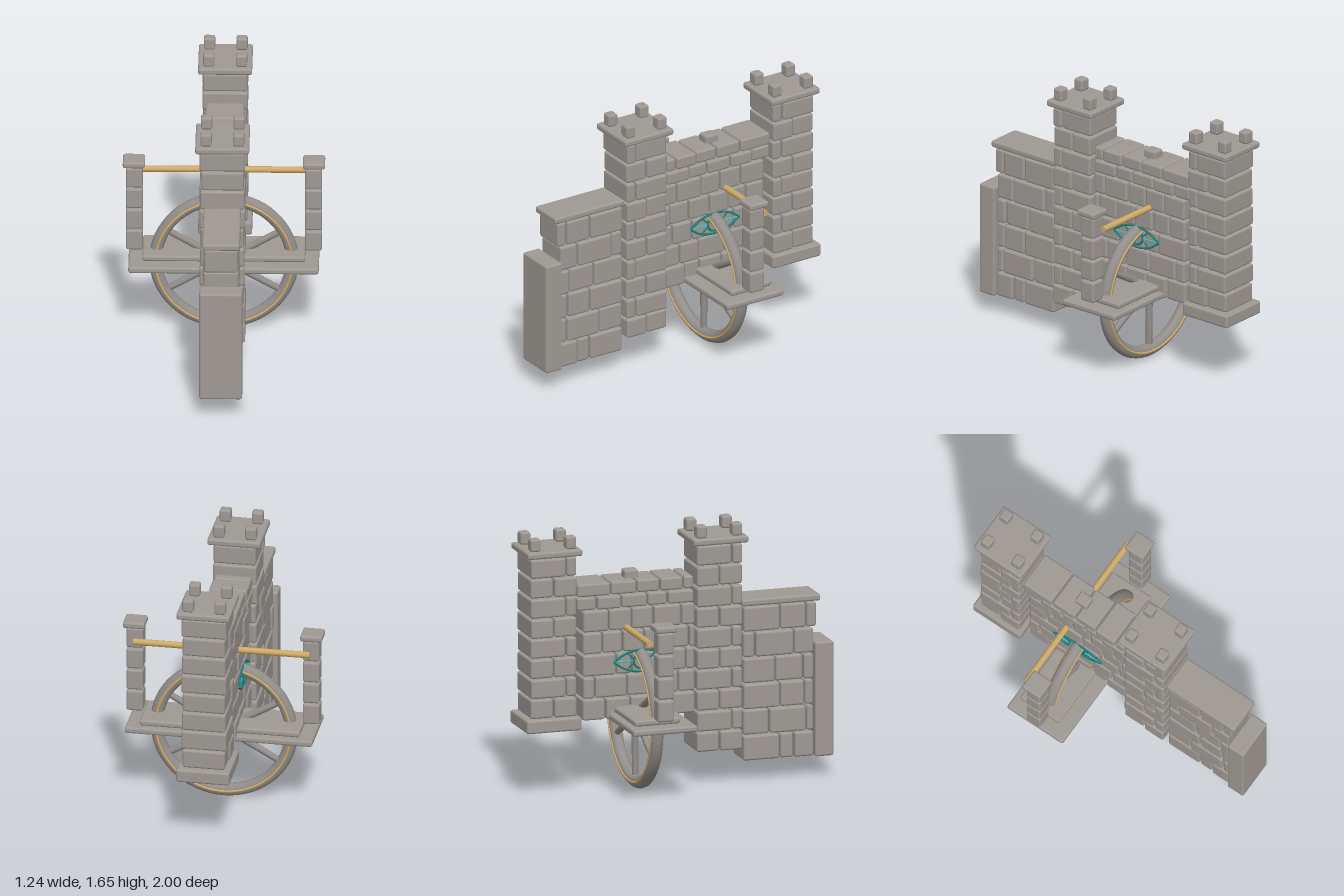
import * as THREE from 'three';
import { RoundedBoxGeometry } from 'three/addons/geometries/RoundedBoxGeometry.js';

const mat = (name, color) => Object.assign(new THREE.MeshStandardMaterial({ color }), { name });

export function createModel() {
  const stone = mat('stone', 0x9f9994);
  const iron = mat('wheel grey', 0x938e8a);
  const brass = mat('brass', 0xcdaa68);
  const teal = mat('teal', 0x23807c);
  const cyan = mat('bright teal', 0x3cc9c2);
  const root = new THREE.Group();

  const group = (name, parent = root) => {
    const g = new THREE.Group();
    g.name = name;
    parent.add(g);
    return g;
  };
  const add = (parent, name, geo, material, x = 0, y = 0, z = 0) => {
    const m = new THREE.Mesh(geo, material);
    m.name = name;
    m.position.set(x, y, z);
    parent.add(m);
    return m;
  };
  // Worn block given by its limits on each axis
  const block = (parent, name, x0, x1, y0, y1, z0, z1, r = 0.014) =>
    add(parent, name, new RoundedBoxGeometry(x1 - x0, y1 - y0, z1 - z0, 2, r), stone,
      (x0 + x1) / 2, (y0 + y1) / 2, (z0 + z1) / 2);

  // Courses of full-width stones; each row lists its joints along z, front to back
  const gap = 0.004;
  const courses = (parent, halfWidth, y0, y1, rows) => {
    const h = (y1 - y0) / rows.length;
    rows.forEach((joints, i) => {
      for (let j = 0; j + 1 < joints.length; j++) {
        const w = halfWidth - 0.004 * ((i + 2 * j) % 3);
        block(parent, 'stone', -w, w, y0 + i * h + gap, y0 + (i + 1) * h - gap,
          joints[j + 1] + gap, joints[j] - gap);
      }
    });
  };

  // Front wall with coping and end slab
  const frontWall = group('frontWall');
  courses(frontWall, 0.112, 0.13, 1.11, [
    [0.88, 0.75, 0.66, 0.42], [0.88, 0.83, 0.59, 0.42], [0.88, 0.82, 0.66, 0.42],
    [0.88, 0.81, 0.63, 0.42], [0.88, 0.75, 0.50, 0.42], [0.90, 0.83, 0.66, 0.42]]);
  block(frontWall, 'coping', -0.115, 0.115, 1.112, 1.155, 0.41, 0.92);
  block(frontWall, 'endSlab', -0.132, 0.132, 0.13, 0.855, 0.88, 1.0);

  // Bridge wall, parapet and keystone
  const bridge = group('bridgeWall');
  courses(bridge, 0.112, 0.465, 1.165, [
    [0.11, -0.04, -0.15, -0.31, -0.47, -0.62], [0.11, 0.0, -0.14, -0.33, -0.54, -0.62],
    [0.11, 0.05, -0.09, -0.30, -0.40, -0.62], [0.11, 0.07, -0.07, -0.22, -0.36, -0.49, -0.62],
    [0.11, 0.02, -0.16, -0.30, -0.45, -0.62]]);
  courses(bridge, 0.118, 1.165, 1.34, [
    [0.10, -0.07, -0.20, -0.37, -0.53, -0.66], [0.10, 0.03, -0.12, -0.27, -0.44, -0.66]]);
  block(bridge, 'keystone', -0.04, 0.04, 1.32, 1.385, -0.325, -0.235);

  // Towers with cap and four merlons
  const tower = (name, zFront, zBack, y0, n) => {
    const g = group(name);
    const rows = [];
    for (let i = 0; i < n; i++)
      rows.push([zFront, zFront - ((n - i) % 2 ? 0.07 : 0.15), zBack]);
    courses(g, 0.14, y0, 1.525, rows);
    const mid = (zFront + zBack) / 2;
    block(g, 'cap', -0.166, 0.166, 1.53, 1.572, mid - 0.178, mid + 0.178);
    for (const sx of [-1, 1]) for (const sz of [-1, 1])
      block(g, 'merlon', sx * 0.1 - 0.035, sx * 0.1 + 0.035, 1.57, 1.65,
        mid + sz * 0.115 - 0.033, mid + sz * 0.115 + 0.033);
    return g;
  };
  tower('frontTower', 0.41, 0.11, 0.215, 10);
  const rear = tower('rearTower', -0.665, -0.968, 0.51, 8);
  block(rear, 'footing', -0.166, 0.166, 0.428, 0.512, -1.0, -0.645);

  // Stepped platform
  const platform = group('platform');
  block(platform, 'lowerSlab', -0.585, 0.585, 0.467, 0.507, -0.452, -0.035);
  block(platform, 'upperSlab', -0.5, 0.5, 0.508, 0.546, -0.415, -0.12);

  // Side pillars
  for (const s of [-1, 1]) {
    const g = group(s > 0 ? 'leftPillar' : 'rightPillar');
    for (let i = 0; i < 4; i++) {
      const y = 0.55 + i * 0.1425;
      block(g, 'pillarStone', s * 0.55 - 0.052, s * 0.55 + 0.052, y, y + 0.134, -0.297, -0.193);
    }
    block(g, 'pillarCap', s * 0.553 - 0.068, s * 0.553 + 0.068, 1.115, 1.156, -0.317, -0.18);
  }

  // Cross rod
  const rod = add(root, 'rod', new THREE.CylinderGeometry(0.02, 0.02, 1.1, 12), brass, 0, 1.04, -0.335);
  rod.rotation.z = Math.PI / 2;

  // Wheel: rim, inlaid rings, spokes and hub
  const wheel = group('wheel');
  wheel.position.set(0, 0.462, -0.245);
  add(wheel, 'rim', new THREE.TorusGeometry(0.42, 0.04, 12, 64), iron);
  for (const s of [-1, 1])
    add(wheel, 'rimInlay', new THREE.TorusGeometry(0.42, 0.008, 8, 64), brass, 0, 0, s * 0.037);
  for (let i = 0; i < 6; i++) {
    const a = Math.PI / 2 + i * Math.PI / 3;
    const spoke = add(wheel, 'spoke', new THREE.CylinderGeometry(0.02, 0.024, 0.36, 10), iron,
      Math.cos(a) * 0.22, Math.sin(a) * 0.22, 0);
    spoke.rotation.z = a - Math.PI / 2;
  }
  const axial = (name, r, len, m, z = 0) => {
    add(wheel, name, new THREE.CylinderGeometry(r, r, len, 20), m, 0, 0, z).rotation.x = Math.PI / 2;
  };
  axial('hub', 0.06, 0.1, brass);
  for (const s of [-1, 1]) {
    axial('hubFlange', 0.076, 0.02, brass, s * 0.048);
    add(wheel, 'hubJewel', new THREE.SphereGeometry(0.035, 16, 10), teal, 0, 0, s * 0.058);
  }

  // Eye-shaped ornament on both faces of the bridge wall
  for (const s of [-1, 1]) {
    const eye = group(s > 0 ? 'leftOrnament' : 'rightOrnament');
    eye.position.set(s * 0.122, 0.83, -0.245);
    const tube = (name, pts, r, m) => add(eye, name, new THREE.TubeGeometry(
      new THREE.CatmullRomCurve3(pts.map(([z, y]) => new THREE.Vector3(0, y, z))), 20, r, 6), m);
    for (const k of [-1, 1]) {
      tube('lid', [[-0.18, 0], [-0.1, k * 0.05], [0, k * 0.068], [0.1, k * 0.05], [0.18, 0]], 0.007, teal);
      tube('ray', [[k * 0.17, 0], [k * 0.1, 0], [k * 0.055, 0]], 0.005, cyan);
      for (const j of [-1, 1])
        tube('lash', [[k * 0.09, j * 0.05], [k * 0.065, j * 0.025], [k * 0.04, j * 0.015]], 0.005, teal);
    }
    add(eye, 'iris', new THREE.TorusGeometry(0.05, 0.007, 6, 24), teal).rotation.y = Math.PI / 2;
  }
  return root;
}
